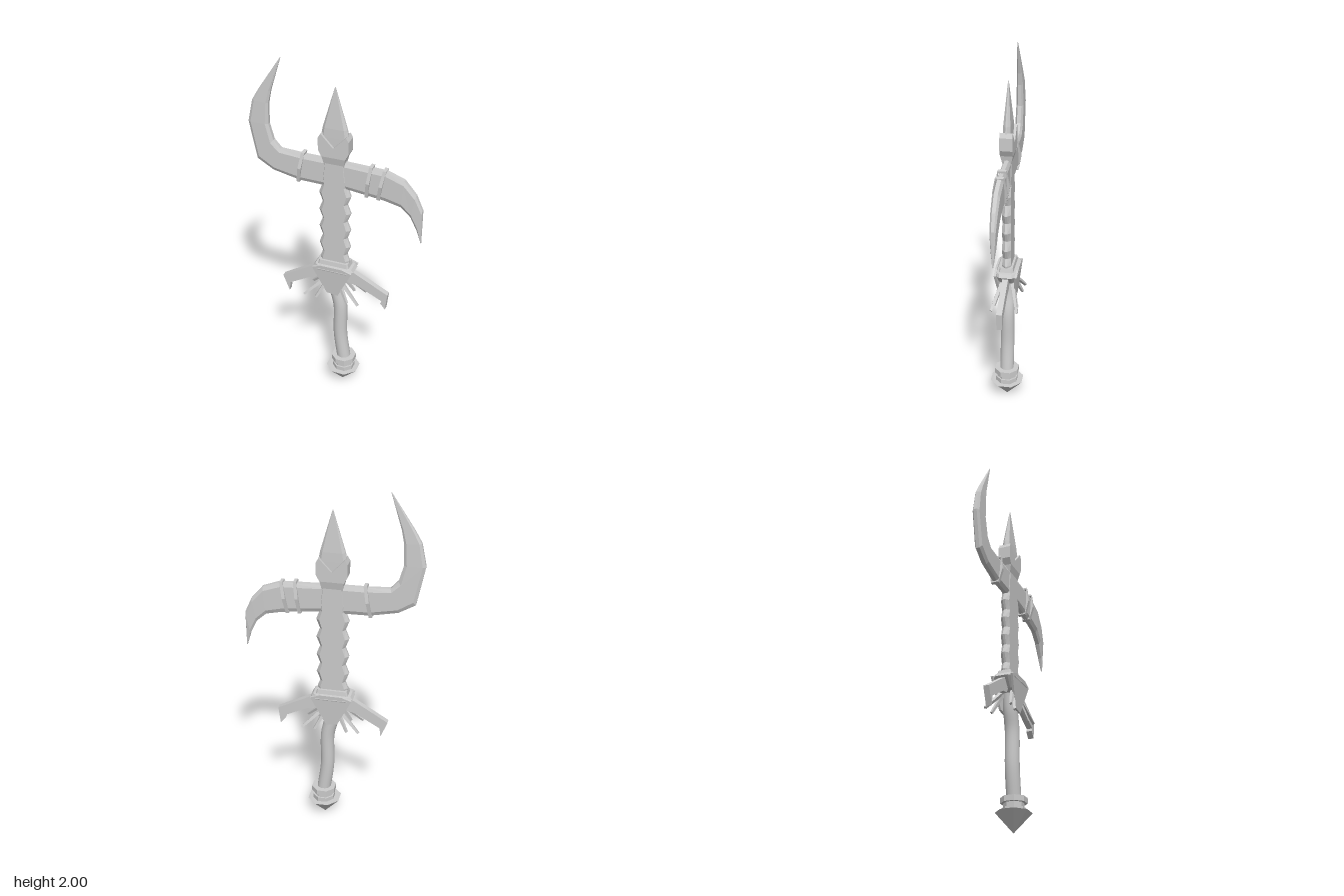
import * as THREE from 'three';

const flat = new THREE.MeshStandardMaterial({ color: 0xcccccc, flatShading: true });
const smooth = new THREE.MeshStandardMaterial({ color: 0xcccccc });

// Closed solid skinned through loops of [x, y, z] points; turned outward by its signed volume
function loft(sections) {
  const n = sections[0].length, tris = [];
  for (let i = 0; i < sections.length - 1; i++) {
    const a = sections[i], b = sections[i + 1];
    for (let j = 0; j < n; j++) {
      const k = (j + 1) % n;
      tris.push([a[j], a[k], b[k]], [a[j], b[k], b[j]]);
    }
  }
  const first = sections[0], last = sections[sections.length - 1];
  for (let j = 1; j < n - 1; j++) {
    tris.push([first[0], first[j + 1], first[j]], [last[0], last[j], last[j + 1]]);
  }
  let volume = 0;
  for (const [a, b, c] of tris) {
    volume += new THREE.Vector3(...a).dot(new THREE.Vector3(...b).cross(new THREE.Vector3(...c)));
  }
  if (volume < 0) tris.forEach((t) => t.reverse());
  const g = new THREE.BufferGeometry();
  g.setAttribute('position', new THREE.Float32BufferAttribute(tris.flat(2), 3));
  g.computeVertexNormals();
  return g;
}

// Chamfered section spanning two edge points in the xy plane, d thick on each side
function band([ax, ay], [bx, by], d, edge, inset) {
  const p = (t, z) => [ax + (bx - ax) * t, ay + (by - ay) * t, z];
  return [p(0, edge * d), p(inset, d), p(1 - inset, d), p(1, edge * d),
    p(1, -edge * d), p(1 - inset, -d), p(inset, -d), p(0, -edge * d)];
}

const outline = (pts) => new THREE.Shape(pts.map(([x, y]) => new THREE.Vector2(x, y)));

function plate(pts, depth) {
  return new THREE.ExtrudeGeometry(outline(pts), { depth, bevelEnabled: false }).translate(0, 0, -depth / 2);
}

export function createModel() {
  const model = new THREE.Group();
  const add = (name, geometry, material = flat) => {
    const mesh = new THREE.Mesh(geometry, material);
    mesh.name = name;
    model.add(mesh);
    return mesh;
  };

  // Horns: rows of outer x, y, inner x, y, half thickness
  const horn = (rows) => loft(rows.map(([ax, ay, bx, by, d]) => band([ax, ay], [bx, by], d, 0.5, 0.14)));
  add('upswept horn', horn([
    [0, 1.315, 0, 1.475, 0.021], [-0.2, 1.32, -0.175, 1.478, 0.021], [-0.35, 1.352, -0.305, 1.485, 0.021],
    [-0.44, 1.405, -0.345, 1.53, 0.021], [-0.483, 1.62, -0.37, 1.62, 0.02], [-0.457, 1.745, -0.366, 1.74, 0.017],
    [-0.42, 1.81, -0.352, 1.81, 0.013], [-0.297, 1.998, -0.293, 2, 0.002],
  ]));
  add('downswept horn', horn([
    [0, 1.475, 0, 1.325, 0.021], [0.285, 1.465, 0.275, 1.292, 0.021], [0.38, 1.43, 0.365, 1.272, 0.021],
    [0.445, 1.355, 0.42, 1.222, 0.019], [0.483, 1.27, 0.457, 1.145, 0.015], [0.483, 1.07, 0.479, 1.07, 0.003],
  ]));

  // Bindings round the horns: pointed hexagonal bands, slightly tilted
  for (const [x, y, h, tilt] of [[-0.19, 1.402, 0.09, -0.17], [0.19, 1.388, 0.092, -0.13], [0.26, 1.383, 0.09, -0.18]]) {
    const hex = (hh, z) => [[-0.022, -hh], [0.022, -hh], [z, 0], [0.022, hh], [-0.022, hh], [-z, 0]];
    const shape = outline(hex(h, 0.04));
    shape.holes.push(outline(hex(h - 0.012, 0.025)));
    const g = new THREE.ExtrudeGeometry(shape, { depth: 0.018, bevelEnabled: false })
      .translate(0, 0, -0.009).rotateY(Math.PI / 2);
    const ring = add('horn binding', g);
    ring.position.set(x, y, 0);
    ring.rotation.z = tilt;
  }

  // Wavy blade and spear point: rows of y, half width, half thickness
  const blade = (rows) => loft(rows.map(([y, w, d]) => band([-w, y], [w, y], d, 0.25, 0.11)));
  const waves = [[0.83, 0.08, 0.024], [0.86, 0.085, 0.024]];
  for (let i = 0; i <= 8; i++) waves.push([0.9 + i * 0.053, i % 2 ? 0.09 : 0.07, 0.024]);
  add('wavy blade', blade([...waves, [1.36, 0.075, 0.024], [1.48, 0.06, 0.024]]));
  add('spear point', blade([[1.5, 0.06, 0.02], [1.61, 0.076, 0.02], [1.66, 0.067, 0.019], [1.885, 0.002, 0.002]]));

  // Notched socket below the spear point, thinning toward the crossbar
  const socket = plate([[-0.055, 1.45], [0.055, 1.45], [0.065, 1.5], [0.084, 1.535], [0.084, 1.605],
    [0.07, 1.63], [0, 1.555], [-0.07, 1.63], [-0.084, 1.605], [-0.084, 1.535], [-0.065, 1.5]], 0.068);
  const sp = socket.attributes.position;
  for (let i = 0; i < sp.count; i++) if (sp.getY(i) < 1.47) sp.setZ(i, sp.getZ(i) * 0.65);
  socket.computeVertexNormals();
  add('spear socket', socket);

  // Guard collar: stacked chamfered rectangles
  const slab = (y, w, d, c) => [[-w, y, d - c], [-w + c, y, d], [w - c, y, d], [w, y, d - c],
    [w, y, c - d], [w - c, y, -d], [c - w, y, -d], [-w, y, c - d]];
  add('guard collar', loft([slab(0.85, 0.083, 0.036, 0.006), slab(0.825, 0.09, 0.04, 0.008),
    slab(0.823, 0.105, 0.055, 0.02), slab(0.805, 0.118, 0.064, 0.03), slab(0.75, 0.07, 0.045, 0.015)]));

  // Tapering flaps on the front and back of the guard
  for (const s of [1, -1]) {
    const flap = add('guard flap', plate([[-0.115, 0], [-0.035, -0.165], [0.03, -0.175], [0.115, 0], [0.06, 0.02], [-0.06, 0.02]], 0.012));
    flap.position.set(0, 0.81, s * 0.057);
    flap.rotation.x = s * 0.09;
  }

  // Hooked guard arms
  add('left guard arm', plate([[0.04, 0.79], [0.08, 0.72], [0.14, 0.71], [0.28, 0.642], [0.272, 0.625],
    [0.3, 0.59], [0.312, 0.69], [0.11, 0.795]], 0.032));
  add('right guard arm', plate([[-0.04, 0.79], [-0.11, 0.795], [-0.312, 0.672], [-0.275, 0.575], [-0.268, 0.63],
    [-0.13, 0.71], [-0.08, 0.72]], 0.032));

  // Splayed spikes under the guard
  const up = new THREE.Vector3(0, 1, 0);
  for (const sx of [1, -1]) for (const sz of [1, -1]) {
    for (const [a, b] of [[[0.035, 0.74, 0.03], [0.16, 0.618, 0.072]], [[0.03, 0.73, 0.03], [0.092, 0.612, 0.066]]]) {
      const from = new THREE.Vector3(a[0] * sx, a[1], a[2] * sz);
      const to = new THREE.Vector3(b[0] * sx, b[1], b[2] * sz);
      const dir = to.clone().sub(from);
      const spike = add('guard spike', new THREE.CylinderGeometry(0.009, 0.014, dir.length(), 4));
      spike.position.copy(from).add(to).multiplyScalar(0.5);
      spike.quaternion.setFromUnitVectors(up, dir.normalize());
    }
  }

  // Bent grip
  const path = new THREE.CatmullRomCurve3([[0, 0.74], [0.008, 0.65], [0.03, 0.545], [0.032, 0.34], [0.055, 0.16]]
    .map(([x, y]) => new THREE.Vector3(x, y, 0)));
  add('grip', new THREE.TubeGeometry(path, 24, 0.039, 16), smooth);

  // Pommel: rings, neck and pointed cap
  const drum = (name, top, bottom, r, r2 = r) => {
    const m = add(name, new THREE.CylinderGeometry(r, r2, top - bottom, 8).rotateY(Math.PI / 8));
    m.position.set(0.053, (top + bottom) / 2, 0);
    return m;
  };
  drum('upper pommel ring', 0.185, 0.155, 0.071);
  drum('pommel neck', 0.16, 0.115, 0.055);
  drum('lower pommel ring', 0.13, 0.095, 0.064);
  const cap = drum('pommel point', 0.105, 0, 0.097, 0.002);
  cap.position.x = 0.048;
  cap.rotation.z = -0.03;
  return model;
}
